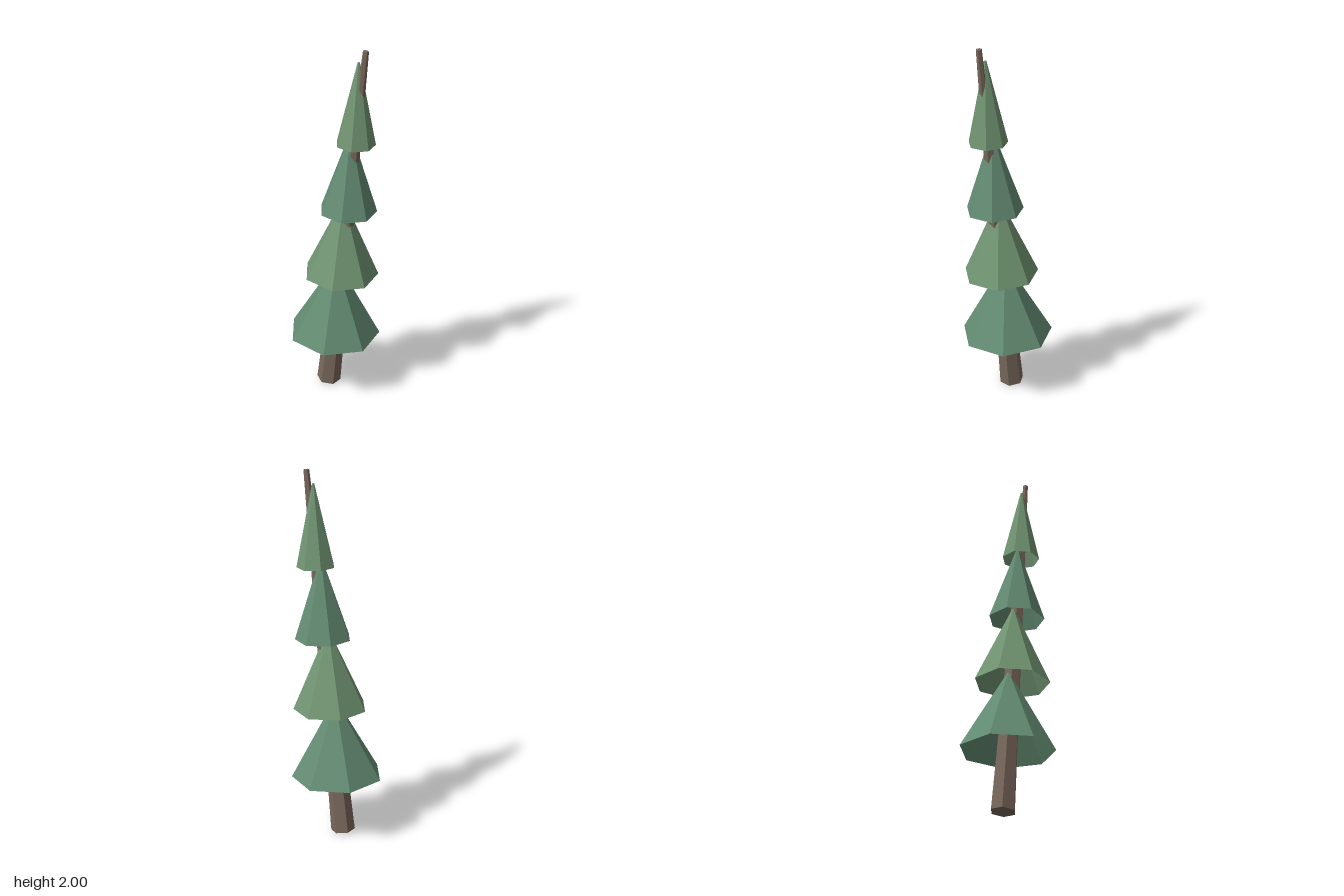
import * as THREE from 'three';

export function createModel() {
  const tree = new THREE.Group();
  tree.name = 'leaningPine';
  const paint = (color) =>
    new THREE.MeshStandardMaterial({ color, flatShading: true, side: THREE.DoubleSide });
  const centreZ = 0.011;

  // Tapered six-sided trunk, leaning towards +x
  const foot = new THREE.Vector3(-0.038, 0.008, centreZ);
  const tip = new THREE.Vector3(0.198, 1.998, centreZ);
  const axis = tip.clone().sub(foot);
  const trunk = new THREE.Mesh(
    new THREE.CylinderGeometry(0.015, 0.066, axis.length(), 6),
    paint(0x7a695c)
  );
  trunk.name = 'trunk';
  trunk.position.copy(foot).add(tip).multiplyScalar(0.5);
  trunk.rotation.z = -Math.atan2(axis.x, axis.y);
  tree.add(trunk);

  // Four hollow seven-sided foliage tiers with a tiny flat top, open underneath
  const greens = [paint(0x648c73), paint(0x729673)];
  const height = 0.437;
  for (let i = 0; i < 4; i++) {
    const radius = 0.25 - i * 0.049;
    const profile = [
      new THREE.Vector2(radius, 0),
      new THREE.Vector2(0.006, height),
      new THREE.Vector2(0, height),
    ];
    const tier = new THREE.Mesh(new THREE.LatheGeometry(profile, 7, Math.PI), greens[i % 2]);
    tier.name = 'foliageTier' + (i + 1);
    tier.position.set(i * 0.0463, 0.333 + i * 0.387, centreZ);
    tier.rotation.z = -0.036;
    tree.add(tier);
  }
  return tree;
}
